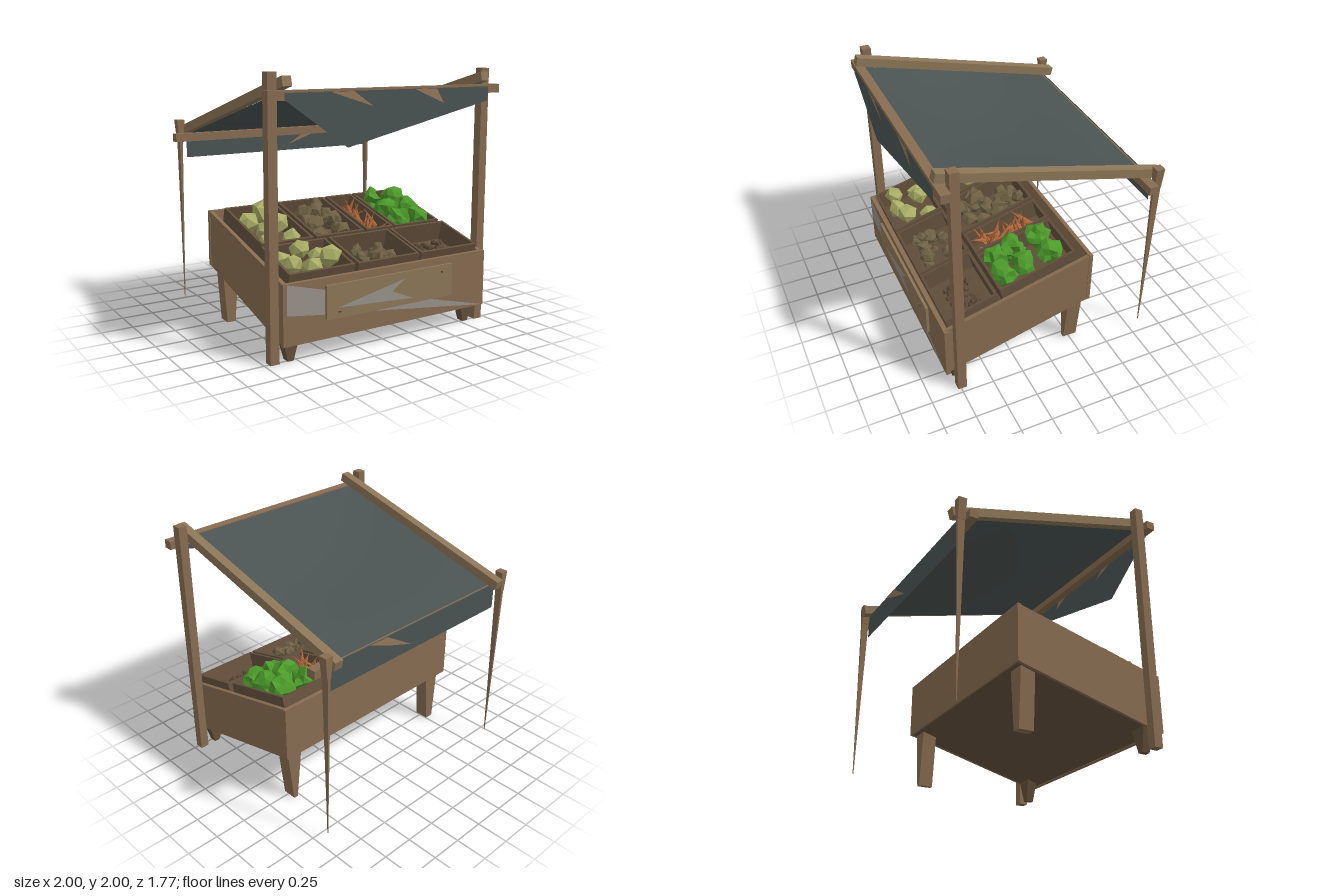
import * as THREE from 'three';

const mat = (color, flat = true) =>
  new THREE.MeshStandardMaterial({ color, flatShading: flat, side: THREE.DoubleSide });
const wood = mat(0x876c50), darkWood = mat(0x64503c), paleWood = mat(0x8b7557);
const cloth = mat(0x4a5352), tan = mat(0x94775a), grey = mat(0x97918a);
const melonMat = mat(0xa9ae66), potatoMat = mat(0x6e6044), nutMat = mat(0x5b4938);
const carrotMat = mat(0xb56a3c), leafMat = mat(0x4c9a2a);

let seed = 7;
const rnd = () => (seed = (seed * 16807) % 2147483647) / 2147483647;
const spread = (a, b) => a + (b - a) * rnd();

function add(parent, name, geo, material, x = 0, y = 0, z = 0) {
  const m = new THREE.Mesh(geo, material);
  m.name = name;
  m.position.set(x, y, z);
  parent.add(m);
  return m;
}
// box given by its min and max on each axis
function span(parent, name, material, x0, x1, y0, y1, z0, z1) {
  return add(parent, name, new THREE.BoxGeometry(x1 - x0, y1 - y0, z1 - z0), material,
    (x0 + x1) / 2, (y0 + y1) / 2, (z0 + z1) / 2);
}
const outline = pts => new THREE.Shape(pts.map(p => new THREE.Vector2(p[0], p[1])));
// (z, y) outline extruded along x from x0 to x1
function sideSlab(parent, name, material, pts, x0, x1) {
  const g = new THREE.ExtrudeGeometry(outline(pts), { depth: x1 - x0, bevelEnabled: false });
  g.rotateY(-Math.PI / 2).translate(x1, 0, 0);
  return add(parent, name, g, material);
}
// box narrowed towards its base
function taper(w, h, d, kx, kz) {
  const g = new THREE.BoxGeometry(w, h, d), p = g.attributes.position;
  for (let i = 0; i < p.count; i++)
    if (p.getY(i) < 0) { p.setX(i, p.getX(i) * kx); p.setZ(i, p.getZ(i) * kz); }
  return g;
}
// faceted lump; equal corners are moved alike so it stays closed
function lump(r, detail, jitter) {
  const g = new THREE.IcosahedronGeometry(r, detail), p = g.attributes.position;
  const v = new THREE.Vector3(), moved = new Map();
  for (let i = 0; i < p.count; i++) {
    v.fromBufferAttribute(p, i);
    const key = v.toArray().map(c => Math.round(c * 1e4)).join();
    if (!moved.has(key)) moved.set(key, 1 + (rnd() - 0.5) * jitter);
    v.multiplyScalar(moved.get(key));
    p.setXYZ(i, v.x, v.y, v.z);
  }
  g.computeVertexNormals();
  return g;
}
function turn(m) {
  m.rotation.set(rnd() * 6, rnd() * 6, rnd() * 6);
  return m;
}

// open crate with its rim at y = 0
function crate(parent, x0, x1, z0, z1) {
  const g = new THREE.Group(), t = 0.02, h = -0.18;
  g.name = 'crate';
  span(g, 'crateFloor', darkWood, x0, x1, h, h + t, z0, z1);
  span(g, 'crateFront', darkWood, x0, x1, h, 0, z1 - t, z1);
  span(g, 'crateBack', darkWood, x0, x1, h, 0, z0, z0 + t);
  span(g, 'crateSide', darkWood, x0, x0 + t, h, 0, z0, z1);
  span(g, 'crateSide', darkWood, x1 - t, x1, h, 0, z0, z1);
  parent.add(g);
}

export function createModel() {
  const root = new THREE.Group();
  root.name = 'marketStall';
  const slope = 0.26;

  // frame; the back posts are blades under a square head
  for (const s of [-1, 1]) {
    add(root, 'frontPost', new THREE.BoxGeometry(0.07, 2, 0.07), wood, s * 0.927, 1, 0.74);
    add(root, 'backPostHead', taper(0.065, 0.17, 0.065, 0.5, 0.9), wood, s * 0.927, 1.485, -0.833);
    add(root, 'backPost', taper(0.025, 1.34, 0.058, 0.15, 0.1), wood, s * 0.927, 0.73, -0.833);
    const r = add(root, 'rafter', new THREE.BoxGeometry(0.07, 0.07, 1.78), paleWood, s * 0.855, 1.713, -0.015);
    r.rotation.x = -slope;
  }
  span(root, 'frontBeam', wood, -1, 1, 1.815, 1.88, 0.78, 0.85);
  span(root, 'backBeam', wood, -1, 1, 1.4, 1.465, -0.8, -0.73);

  // roof cloth, sagging more towards the front
  const roof = new THREE.PlaneGeometry(1.7, 1.59, 6, 8).rotateX(-Math.PI / 2);
  const p = roof.attributes.position;
  for (let i = 0; i < p.count; i++) {
    const u = p.getX(i) / 0.85, v = p.getZ(i) / 0.795;
    const sag = 0.1 * (1 - u * u) * Math.max(0, 1 - ((v - 0.17) / 0.83) ** 2);
    p.setXYZ(i, p.getX(i), 1.668 + 0.207 * v - sag, p.getZ(i) - 0.01);
  }
  roof.computeVertexNormals();
  add(root, 'roofCloth', roof, mat(0x4a5352, false));

  // hanging flaps with sewn patches on both faces
  const flat = (name, material, pts, z) => add(root, name, new THREE.ShapeGeometry(outline(pts)), material, 0, 0, z);
  flat('frontFlap', cloth, [[-0.88, 1.82], [-0.39, 1.48], [0.88, 1.76], [0.88, 1.865], [-0.88, 1.865]], 0.858);
  flat('backFlap', cloth, [[-0.88, 1.26], [0.88, 1.26], [0.88, 1.465], [-0.88, 1.465]], -0.81);
  for (const d of [-0.003, 0.003]) {
    flat('patch', tan, [[-0.53, 1.863], [-0.18, 1.755], [-0.34, 1.863]], 0.858 + d);
    flat('patch', tan, [[0.18, 1.863], [0.45, 1.755], [0.38, 1.863]], 0.858 + d);
    flat('patch', tan, [[0.08, 1.31], [0.3, 1.385], [0.5, 1.464], [0.33, 1.464]], -0.81 + d);
  }

  // sloped display body
  const profile = [[0.82, 0.145], [0.82, 0.585], [-0.35, 0.888], [-0.35, 0.45]];
  sideSlab(root, 'bodySide', wood, profile, -0.895, -0.865);
  sideSlab(root, 'bodySide', wood, profile, 0.865, 0.895);
  sideSlab(root, 'bodyFloor', darkWood, [[0.82, 0.145], [0.82, 0.17], [-0.35, 0.475], [-0.35, 0.45]], -0.87, 0.87);
  span(root, 'frontPanel', wood, -0.9, 0.91, 0.14, 0.583, 0.81, 0.845);
  span(root, 'backPanel', wood, -0.9, 0.9, 0.45, 0.89, -0.365, -0.335);

  // sign board, nails and worn paint
  span(root, 'signBoard', paleWood, -0.565, 0.565, 0.28, 0.53, 0.845, 0.866);
  for (const [x, y] of [[-0.46, 0.33], [0.46, 0.48]])
    turn(add(root, 'nail', new THREE.BoxGeometry(0.008, 0.022, 0.008), nutMat, x, y, 0.872));
  flat('paintWear', grey, [[-0.87, 0.36], [-0.57, 0.32], [-0.57, 0.5], [-0.87, 0.58]], 0.848);
  flat('paintWear', grey, [[-0.2, 0.28], [0.9, 0.143], [0.35, 0.28]], 0.848);
  flat('paintWear', grey, [[-0.47, 0.36], [0.19, 0.32], [0.0, 0.4], [0.11, 0.48]], 0.869);

  // wedge legs
  for (const s of [-1, 1]) {
    add(root, 'frontLeg', taper(0.15, 0.2, 0.09, 0.3, 0.7), darkWood, s * 0.8, 0.1, 0.735);
    add(root, 'backLeg', taper(0.14, 0.47, 0.115, s < 0 ? 0.5 : 0.25, 1), wood, s * 0.79, 0.235, -0.263);
  }

  // tilted tray of crates
  const tray = new THREE.Group();
  tray.name = 'crates';
  tray.position.set(0, 0.8, 0.2);
  tray.rotation.x = slope;
  root.add(tray);
  for (const [a, b] of [[-0.81, -0.37], [-0.34, 0.09], [0.12, 0.37], [0.39, 0.83]]) crate(tray, a, b, -0.466, 0.176);
  for (const [a, b] of [[-0.83, -0.29], [-0.26, 0.29], [0.31, 0.85]]) crate(tray, a, b, 0.207, 0.635);

  // melons
  const melons = [[-0.55, 0.01, -0.31, 0.095], [-0.69, -0.06, -0.28, 0.085], [-0.5, -0.01, -0.15, 0.09],
    [-0.64, -0.03, -0.06, 0.09], [-0.7, -0.06, 0.07, 0.08], [-0.49, -0.06, 0.06, 0.085],
    [-0.72, -0.01, 0.49, 0.08], [-0.57, 0, 0.32, 0.08], [-0.41, 0.01, 0.48, 0.09],
    [-0.58, -0.04, 0.52, 0.08], [-0.72, -0.09, 0.31, 0.08], [-0.4, -0.09, 0.31, 0.08]];
  for (const [x, y, z, r] of melons) turn(add(tray, 'melon', lump(r, 0, 0.3), melonMat, x, y, z));

  // potatoes and nuts in heaps
  const heap = (name, material, n, x0, x1, y0, y1, z0, z1, r0, r1) => {
    for (let i = 0; i < n; i++) {
      const m = turn(add(tray, name, lump(spread(r0, r1), 0, 0.4), material,
        spread(x0, x1), spread(y0, y1), spread(z0, z1)));
      m.scale.set(1.2, 0.9, 0.9);
    }
  };
  heap('potato', potatoMat, 28, -0.28, 0.03, -0.09, -0.01, -0.4, 0.1, 0.05, 0.075);
  heap('potato', potatoMat, 20, -0.14, 0.15, -0.13, -0.04, 0.31, 0.53, 0.04, 0.058);
  heap('nut', nutMat, 50, 0.44, 0.74, -0.15, -0.1, 0.31, 0.53, 0.018, 0.03);

  // carrots
  for (let i = 0; i < 30; i++) {
    const c = add(tray, 'carrot', new THREE.ConeGeometry(0.022, spread(0.15, 0.21), 5), carrotMat,
      spread(0.18, 0.31), spread(-0.09, -0.01), spread(-0.38, 0.1));
    c.rotation.set(spread(-1, 1), 0, spread(-0.8, 0.8));
  }

  // leafy heads
  for (const z of [-0.31, -0.09, 0.07])
    for (const x of [0.5, 0.69])
      turn(add(tray, 'leafyHead', lump(0.092, 1, 0.75), leafMat, x + spread(-0.02, 0.02), -0.01, z));

  return root;
}
